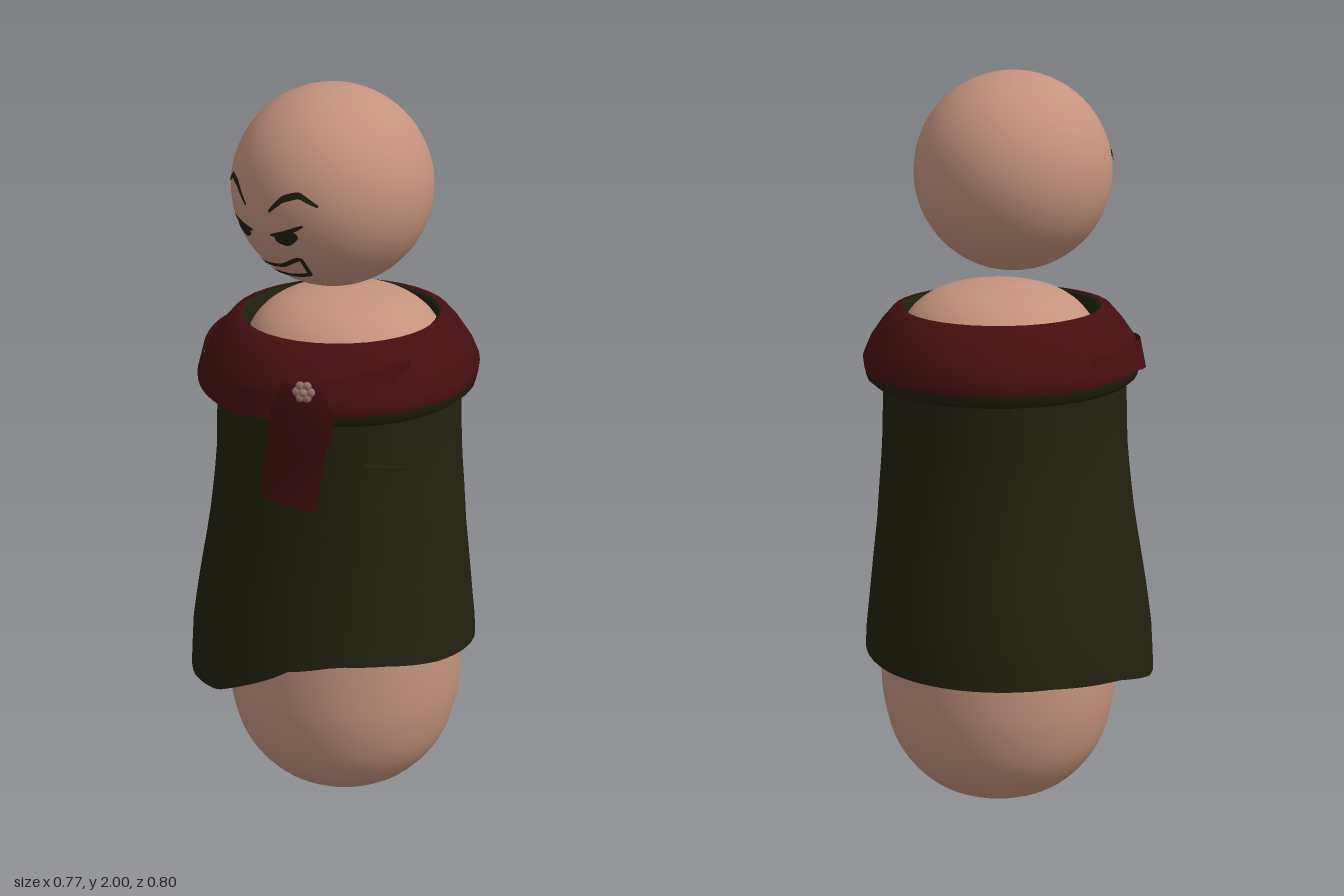
import * as THREE from 'three';
import { mergeVertices } from 'three/addons/utils/BufferGeometryUtils.js';

const { DoubleSide, Vector3 } = THREE;
const paint = (name, color, side = THREE.FrontSide) => {
  const m = new THREE.MeshStandardMaterial({ color, side });
  m.name = name;
  return m;
};

// Linear lookup in rows of [key, a, b, ...]; returns column col
function lookup(table, key, col = 1) {
  let i = 1;
  while (i < table.length - 1 && table[i][0] < key) i++;
  const a = table[i - 1], b = table[i];
  const t = THREE.MathUtils.clamp((key - a[0]) / (b[0] - a[0]), 0, 1);
  return a[col] + (b[col] - a[col]) * t;
}

// Smooth surface through an equal-length set of point rows
function sheet(rows) {
  const n = rows[0].length, pos = [], idx = [];
  rows.forEach((row) => row.forEach((p) => pos.push(p.x, p.y, p.z)));
  for (let i = 0; i < rows.length - 1; i++)
    for (let j = 0; j < n - 1; j++) {
      const a = i * n + j, b = a + n;
      idx.push(a, b, a + 1, b, b + 1, a + 1);
    }
  let g = new THREE.BufferGeometry();
  g.setAttribute('position', new THREE.Float32BufferAttribute(pos, 3));
  g.setIndex(idx);
  g = mergeVertices(g, 1e-5);
  g.computeVertexNormals();
  return g;
}

const range = (a, b, n) => Array.from({ length: n + 1 }, (_, i) => a + (b - a) * i / n);

// Cloak surface: angle in degrees from the front (+z) toward +x
const cloakRadius = [[0.35, 0.385], [0.5, 0.377], [0.65, 0.358], [0.8, 0.337], [1.0, 0.318], [1.28, 0.31]];
function onCloak(deg, y, out = 0) {
  const a = deg * Math.PI / 180, r = lookup(cloakRadius, y) + out;
  const shift = 0.02 * THREE.MathUtils.smoothstep(y, 0.45, 1.0);
  return new Vector3(Math.sin(a) * r + shift, y, Math.cos(a) * r * 1.025 - 0.004);
}

// Collar surface: scaled ring that the sash follows
const onCollar = (deg, y, r) => {
  const a = deg * Math.PI / 180;
  return new Vector3(Math.sin(a) * r + 0.008, y, Math.cos(a) * r * 1.035 - 0.01);
};

const HEAD = new Vector3(0.015, 1.74, 0.03), HEAD_R = 0.263;
function onFace(x, y) {
  const dx = x - HEAD.x, dy = y - HEAD.y;
  return new Vector3(x, y, HEAD.z + Math.sqrt((HEAD_R + 0.003) ** 2 - dx * dx - dy * dy));
}

// Brush stroke on the face along points [x, y], tapering if asked
function stroke(points, width, closed, taper) {
  const curve = new THREE.CatmullRomCurve3(points.map(([x, y]) => new Vector3(x, y, 0)), closed, 'catmullrom', 0.2);
  const rows = range(0, 1, 32).map((t) => {
    const p = curve.getPoint(t), d = curve.getTangent(t);
    const w = width * 0.5 * (taper ? 0.3 + 0.7 * Math.sin(Math.PI * t) : 1);
    return [-1, 1].map((s) => onFace(p.x - d.y * w * s, p.y + d.x * w * s));
  });
  return sheet(rows);
}

export function createModel() {
  const root = new THREE.Group();
  const skin = paint('skin', 0xc4937d);
  const olive = paint('dark olive', 0x21200f, DoubleSide);
  const red = paint('dark red', 0x440e11, DoubleSide);
  const metal = paint('pin metal', 0x9a7468);
  const add = (name, geo, mat, parent = root) => {
    const m = new THREE.Mesh(geo, mat);
    m.name = name;
    parent.add(m);
    return m;
  };

  // Head and peg body
  add('head', new THREE.SphereGeometry(HEAD_R, 48, 32), skin).position.copy(HEAD);
  const bodyCurve = new THREE.SplineCurve([
    [0, 0], [0.1, 0.01], [0.2, 0.055], [0.28, 0.15], [0.317, 0.27], [0.325, 0.4], [0.315, 0.6],
    [0.285, 0.9], [0.275, 1.15], [0.265, 1.3], [0.235, 1.37], [0.17, 1.42], [0.08, 1.445], [0, 1.45],
  ].map(([x, y]) => new THREE.Vector2(x, y)));
  const profile = bodyCurve.getPoints(52).map((p) => new THREE.Vector2(Math.max(p.x, 0), p.y));
  add('body', new THREE.LatheGeometry(profile, 48), skin).position.set(0.013, 0, -0.02);

  // Cloak under layer with a wavy hem
  const hem = [[-180, 0.43], [-90, 0.43], [-45, 0.45], [0, 0.47], [20, 0.49], [45, 0.52],
    [65, 0.51], [90, 0.48], [135, 0.44], [180, 0.43]];
  add('cloak', sheet(range(-180, 180, 60).map((d) =>
    range(0, 1, 14).map((t) => onCloak(d, THREE.MathUtils.lerp(1.27, lookup(hem, d), t))))), olive);

  // Front flap wrapped over the cloak, its edge sweeping up the left side
  const flapLow = [[-110, 0.432], [-75, 0.415], [-50, 0.37], [-32, 0.36], [-8, 0.385], [10, 0.445],
    [20, 0.48], [48, 0.6], [68, 0.8], [74, 1.05]];
  const flapTop = [[53, 1.27], [54, 1.08], [74, 1.06]];
  const flapOut = (d) => 0.018 * THREE.MathUtils.smoothstep(d, -110, -60);
  const flapAngles = [...range(-110, 50, 40), 53, 54, 58, 62, 65, 68, 70, 72, 74];
  add('frontFlap', sheet(flapAngles.map((d) => range(0, 1, 14).map((t) =>
    onCloak(d, THREE.MathUtils.lerp(lookup(flapTop, d), lookup(flapLow, d), t), flapOut(d))))), olive);
  add('flapEdge', sheet(flapAngles.map((d) =>
    [flapOut(d), 0].map((o) => onCloak(d, lookup(flapLow, d), o)))), olive);
  add('flapShelf', sheet([53, 54, 60, 67, 74].map((d) =>
    [0.018, 0].map((o) => onCloak(d, lookup(flapTop, d), o)))), olive);

  // Collar: olive lining, red band and olive lip
  const ring = (name, pairs, mat) => add(name, sheet(range(-180, 180, 36).map((d) =>
    pairs.map(([r, y]) => onCollar(d, y, r)))), mat);
  ring('collarLining', [[0.25, 1.3], [0.25, 1.378], [0.262, 1.383]], olive);
  ring('collar', [[0.26, 1.385], [0.285, 1.38], [0.315, 1.345], [0.345, 1.3], [0.364, 1.255], [0.36, 1.222]], red);
  ring('collarLip', [[0.36, 1.225], [0.355, 1.2], [0.34, 1.187], [0.305, 1.195]], olive);

  // Sash band across the collar: angle, top y, bottom y, top radius, bottom radius
  const sash = [[-88, 1.305, 1.25, 0.37, 0.376], [-60, 1.31, 1.24, 0.352, 0.374], [-30, 1.29, 1.21, 0.36, 0.374],
    [0, 1.27, 1.2, 0.364, 0.374], [25, 1.285, 1.21, 0.362, 0.376], [37, 1.315, 1.25, 0.355, 0.378],
    [55, 1.335, 1.285, 0.35, 0.362], [75, 1.36, 1.335, 0.348, 0.352]];
  add('sashBand', sheet(range(-88, 75, 40).map((d) => [0, 0.5, 1].map((t) => onCollar(d,
    THREE.MathUtils.lerp(lookup(sash, d, 1), lookup(sash, d, 2), t),
    THREE.MathUtils.lerp(lookup(sash, d, 3), lookup(sash, d, 4), t) + 0.003)))), red);

  // Hanging sash tail: y, left x, right x, radius
  const tail = [[1.31, 0.16, 0.25, 0.382], [1.24, 0.135, 0.28, 0.39], [1.12, 0.095, 0.24, 0.366],
    [1.04, 0.075, 0.225, 0.355], [0.97, 0.07, 0.22, 0.356]];
  add('sashTail', sheet(tail.map(([y, x0, x1, r]) => range(0, 1, 6).map((t) => {
    const x = x0 + (x1 - x0) * t;
    return new Vector3(x, y + 0.01 - 0.025 * t, Math.sqrt(r * r - (x - 0.015) ** 2));
  }))), red);

  // Flower pin
  const pin = new THREE.Group();
  pin.name = 'pin';
  pin.position.set(0.213, 1.3, 0.333);
  pin.rotation.y = 0.55;
  root.add(pin);
  for (let i = 0; i < 6; i++) {
    const a = i * Math.PI / 3;
    const petal = add('petal', new THREE.SphereGeometry(0.012, 10, 8), metal, pin);
    petal.position.set(Math.cos(a) * 0.018, Math.sin(a) * 0.018, 0);
    petal.scale.z = 0.7;
  }
  add('pinCentre', new THREE.SphereGeometry(0.011, 10, 8), metal, pin).position.z = 0.006;

  // Painted face
  add('rightBrow', stroke([[-0.145, 1.762], [-0.115, 1.784], [-0.08, 1.772], [-0.035, 1.728]], 0.018, false, true), olive);
  add('leftBrow', stroke([[0.05, 1.728], [0.09, 1.766], [0.13, 1.78], [0.175, 1.755]], 0.018, false, true), olive);
  add('rightLid', stroke([[-0.112, 1.682], [-0.065, 1.668], [-0.018, 1.664]], 0.014, false, true), olive);
  add('leftLid', stroke([[0.045, 1.664], [0.09, 1.676], [0.14, 1.702]], 0.014, false, true), olive);
  add('rightEye', stroke([[-0.095, 1.662], [-0.063, 1.652], [-0.032, 1.656]], 0.034, false, true), olive);
  add('leftEye', stroke([[0.058, 1.656], [0.088, 1.659], [0.122, 1.675]], 0.036, false, true), olive);
  add('mouth', stroke([[-0.09, 1.552], [-0.02, 1.562], [0.04, 1.572], [0.108, 1.605], [0.103, 1.555],
    [0.05, 1.541], [-0.03, 1.537]], 0.011, true, false), olive);

  return root;
}
